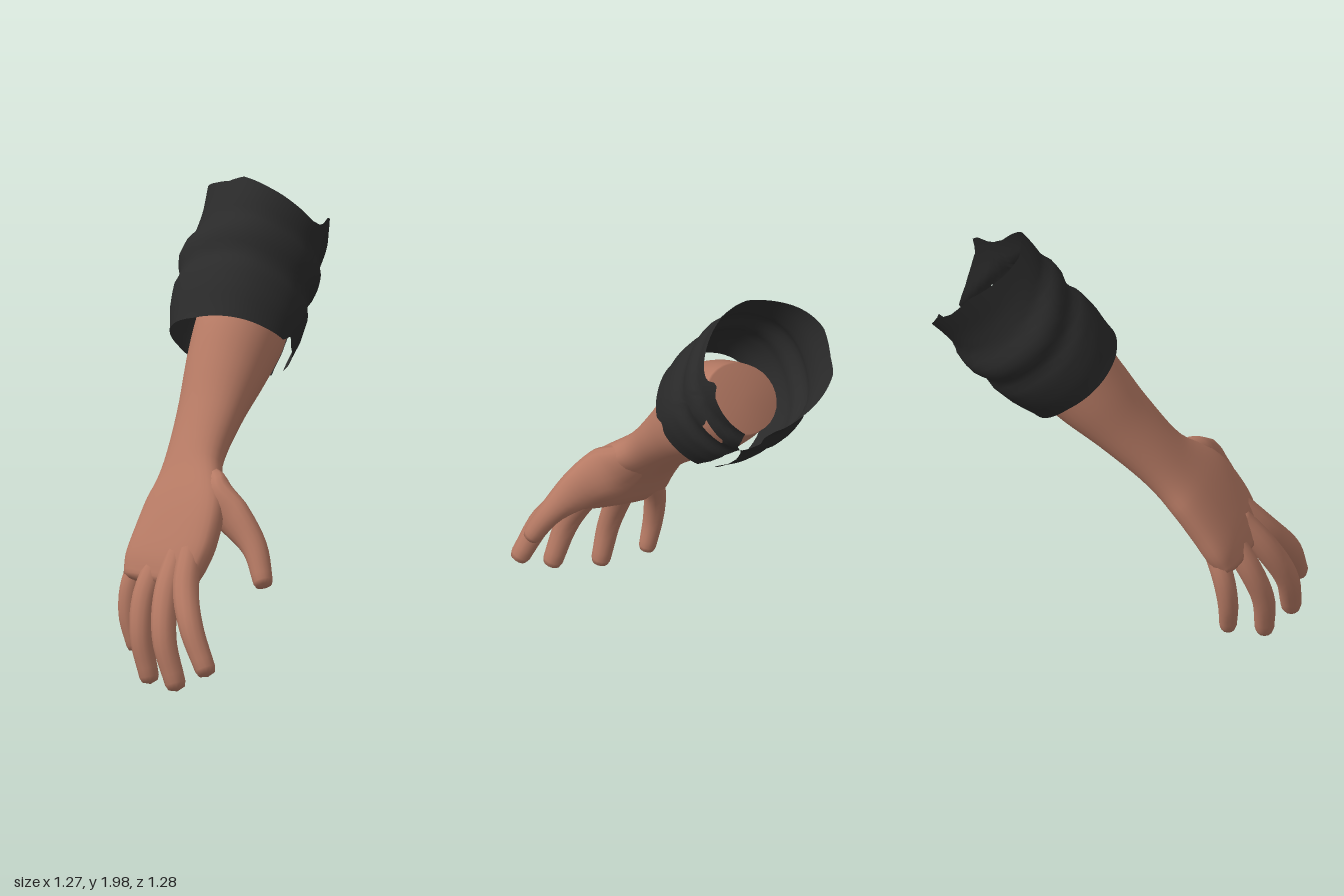
import * as THREE from 'three';

const V = (x, y, z) => new THREE.Vector3(x, y, z);

function gridGeometry(pos, index) {
  const g = new THREE.BufferGeometry();
  g.setAttribute('position', new THREE.Float32BufferAttribute(pos, 3));
  g.setIndex(index);
  g.computeVertexNormals();
  return g;
}

const bulge = (v, power) => Math.sign(v) * Math.pow(Math.abs(v), power);

// Loft of oval rings. Row: [x, y, z, half width, half thickness, tilt];
// tilt 1 sets an oval square to the path, 0 keeps its width near z, boxier and slightly rolled.
function loft(rows, sides, steps, round) {
  const path = new THREE.CatmullRomCurve3(rows.map(r => V(r[0], r[1], r[2])), false, 'catmullrom');
  const size = new THREE.CatmullRomCurve3(rows.map(r => V(r[3], r[4], r[5])), false, 'catmullrom');
  const pos = [], index = [];
  const ring = (t, push, scale) => {
    const c = path.getPoint(t), d = path.getTangent(t), s = size.getPoint(t);
    const u = V(0.2 * (1 - s.z), 0, 1).addScaledVector(d, -d.z * s.z).normalize();
    const w = d.clone().cross(u).normalize();
    const power = 0.7 + 0.3 * s.z;
    c.addScaledVector(d, push);
    for (let j = 0; j < sides; j++) {
      const a = j / sides * Math.PI * 2;
      const p = c.clone().addScaledVector(u, bulge(Math.cos(a), power) * s.x * scale)
        .addScaledVector(w, bulge(Math.sin(a), power) * s.y * scale);
      pos.push(p.x, p.y, p.z);
    }
  };
  const start = path.getPoint(0);
  for (let i = 0; i <= steps; i++) ring(i / steps, 0, 1);
  ring(1, round * 0.55, 0.8);
  const end = path.getPoint(1).addScaledVector(path.getTangent(1), round * 0.85);
  const last = (steps + 1) * sides;
  for (let i = 0; i <= steps; i++) for (let j = 0; j < sides; j++) {
    const k = (j + 1) % sides, a = i * sides + j, b = i * sides + k;
    index.push(a, b, b + sides, a, b + sides, a + sides);
  }
  const n = pos.length / 3;
  pos.push(start.x, start.y, start.z, end.x, end.y, end.z);
  for (let j = 0; j < sides; j++) {
    const k = (j + 1) % sides;
    index.push(n, k, j, n + 1, last + j, last + k);
  }
  return gridGeometry(pos, index);
}

// Linear lookup in [key, value] pairs
function lookup(table, x) {
  for (let i = 1; i < table.length; i++) {
    const [x0, y0] = table[i - 1], [x1, y1] = table[i];
    if (x <= x1) return y0 + (y1 - y0) * Math.max(0, (x - x0) / (x1 - x0));
  }
  return table[table.length - 1][1];
}

// Torn, folded sleeve: an open wrap around a slanted axis, angles in degrees
function sleeveGeometry() {
  const base = V(0.13, 1.31, -0.14), d = V(0.26, 0.36, -0.2).normalize();
  const e1 = V(0, 0, 1).addScaledVector(d, -d.z).normalize(), e2 = d.clone().cross(e1);
  const upper = [[85, 0.54], [110, 0.57], [130, 0.62], [150, 0.66], [172, 0.71], [190, 0.7], [218, 0.72],
    [240, 0.69], [261, 0.66], [280, 0.64], [295, 0.65], [318, 0.61], [339, 0.58], [361, 0.55],
    [372, 0.56], [379, 0.64], [387, 0.57], [401, 0.53], [415, 0.5], [430, 0.48], [445, 0.46]];
  const lower = [[85, 0.0], [110, 0.01], [150, 0.0], [200, 0.015], [270, -0.01], [330, 0.0],
    [372, 0.0], [380, 0.04], [388, 0.01], [445, 0.0]];
  const folds = [[-0.02, 0.243], [0.03, 0.25], [0.12, 0.27], [0.22, 0.277], [0.27, 0.262], [0.3, 0.265],
    [0.36, 0.288], [0.42, 0.286], [0.46, 0.266], [0.52, 0.27], [0.75, 0.28]];
  const gap = [[0, 9], [0.3, 8], [0.5, 6], [0.62, -1], [0.72, 0], [0.8, 8], [1, 12]];
  const cols = 90, rows = 20, pos = [], index = [];
  for (let i = 0; i <= rows; i++) for (let j = 0; j <= cols; j++) {
    const t = i / rows, g = lookup(gap, t);
    const deg = 85 + g + (360 - 2 * g) * j / cols, a = deg * Math.PI / 180;
    const s = THREE.MathUtils.lerp(lookup(lower, deg), lookup(upper, deg), t);
    // the mouth leans outward at the front, the lower folds sag outward at the back
    const mouth = THREE.MathUtils.smoothstep(s, 0.3, 0.6);
    const lean = 0.035 * mouth * Math.cos(a + 0.35) + 0.035 * (1 - mouth) * Math.max(0, Math.cos(a - 3.9)) ** 2;
    const r = lookup(folds, s + 0.018 * Math.sin(2 * a + 0.6)) * (1 + 0.012 * Math.sin(5 * a)) + lean;
    const p = base.clone().addScaledVector(d, s)
      .addScaledVector(e1, r * 0.96 * Math.cos(a)).addScaledVector(e2, r * Math.sin(a));
    pos.push(p.x, p.y, p.z);
  }
  for (let i = 0; i < rows; i++) for (let j = 0; j < cols; j++) {
    // small tear beside the open seam
    if (i >= 13 && i <= 14 && j >= 79 && j <= 84) continue;
    const a = i * (cols + 1) + j, b = a + cols + 1;
    index.push(a, a + 1, b + 1, a, b + 1, b);
  }
  return gridGeometry(pos, index);
}

export function createModel() {
  const skin = new THREE.MeshStandardMaterial({ color: 0xb67a64 });
  skin.name = 'skin';
  const cloth = new THREE.MeshStandardMaterial({ color: 0x2a2a2a, side: THREE.DoubleSide });
  cloth.name = 'black cloth';
  const model = new THREE.Group();
  model.name = 'armWithTornSleeve';
  const add = (name, geometry, material) => {
    const mesh = new THREE.Mesh(geometry, material);
    mesh.name = name;
    model.add(mesh);
  };

  // Forearm running into the wrist, palm and knuckles
  add('forearmAndPalm', loft([
    [0.31, 1.5, -0.275, 0.18, 0.15, 1],
    [0.25, 1.44, -0.22, 0.188, 0.18, 1],
    [0.165, 1.35, -0.16, 0.188, 0.195, 1],
    [0.055, 1.21, -0.104, 0.177, 0.167, 1],
    [-0.07, 1.05, -0.036, 0.157, 0.122, 1],
    [-0.21, 0.87, 0.045, 0.148, 0.09, 0.8],
    [-0.31, 0.73, 0.137, 0.208, 0.08, 0.35],
    [-0.39, 0.6, 0.178, 0.222, 0.075, 0.1],
    [-0.45, 0.5, 0.19, 0.215, 0.068, 0],
    [-0.49, 0.43, 0.2, 0.195, 0.05, 0],
  ], 28, 45, 0.03), skin);

  // Fingers, each a bent path with a radius
  const fingers = {
    indexFinger: [0.056, [-0.38, 0.6, 0.29], [-0.485, 0.43, 0.39], [-0.535, 0.28, 0.5], [-0.525, 0.115, 0.59]],
    middleFinger: [0.056, [-0.42, 0.56, 0.25], [-0.535, 0.39, 0.32], [-0.595, 0.22, 0.39], [-0.58, 0.04, 0.45]],
    ringFinger: [0.053, [-0.42, 0.56, 0.15], [-0.54, 0.38, 0.175], [-0.59, 0.21, 0.215], [-0.575, 0.04, 0.25]],
    littleFinger: [0.047, [-0.43, 0.55, 0.05], [-0.505, 0.41, 0.03], [-0.53, 0.27, 0.035], [-0.515, 0.14, 0.06]],
  };
  const taper = [0.95, 1, 0.92, 0.78];
  for (const [name, [r, ...points]] of Object.entries(fingers)) {
    const rows = points.map((p, i) => [...p, r * taper[i], r * taper[i], 1]);
    add(name, loft(rows, 12, 14, r * 0.75), skin);
  }

  // Thumb, with a broad flat base forming the mound and the web to the palm
  add('thumb', loft([
    [-0.22, 0.84, 0.1, 0.07, 0.045, 1],
    [-0.228, 0.76, 0.22, 0.12, 0.068, 1],
    [-0.212, 0.69, 0.35, 0.098, 0.062, 1],
    [-0.198, 0.58, 0.48, 0.056, 0.054, 1],
    [-0.212, 0.45, 0.562, 0.042, 0.042, 1],
  ], 16, 20, 0.035), skin);

  add('tornSleeve', sleeveGeometry(), cloth);
  return model;
}
